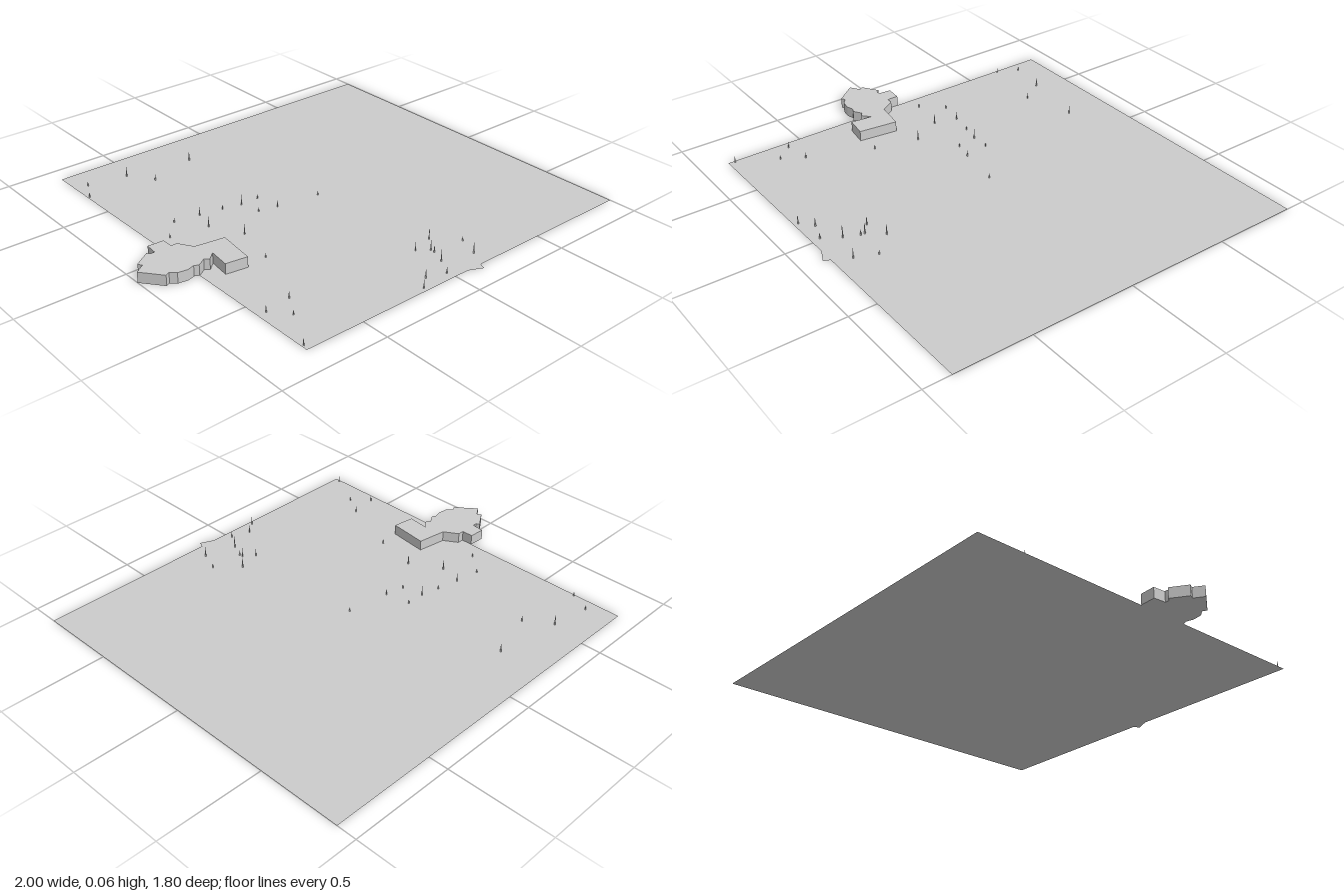
import * as THREE from 'three';

const material = new THREE.MeshStandardMaterial({ color: 0xcccccc, flatShading: true, side: THREE.DoubleSide });

// Outline given as [x, z] pairs, laid flat on the ground
function outline(points) {
  return new THREE.Shape(points.map(([x, z]) => new THREE.Vector2(x, -z)));
}

function addMesh(group, name, geometry) {
  const mesh = new THREE.Mesh(geometry, material);
  mesh.name = name;
  group.add(mesh);
  return mesh;
}

export function createModel() {
  const group = new THREE.Group();
  group.name = 'groundWithPosts';

  // Flat ground sheet
  const ground = new THREE.PlaneGeometry(1.78, 1.775).rotateX(-Math.PI / 2);
  addMesh(group, 'ground', ground).position.set(0.11, 0, -0.0175);

  // Small flat corner of ground past the front edge
  const corner = new THREE.ShapeGeometry(outline([[0.07, 0.87], [0.135, 0.9], [0.147, 0.87]]));
  addMesh(group, 'groundCorner', corner.rotateX(-Math.PI / 2));

  // Raised block with an irregular plan
  const blockPlan = outline([
    [-1, 0.085], [-0.955, 0.055], [-0.965, 0.035], [-0.89, -0.015], [-0.88, 0], [-0.86, 0],
    [-0.855, -0.06], [-0.78, -0.055], [-0.78, 0], [-0.75, 0], [-0.71, 0.067], [-0.57, 0.088],
    [-0.592, 0.275], [-0.695, 0.26], [-0.683, 0.157], [-0.72, 0.19], [-0.74, 0.175], [-0.78, 0.2],
    [-0.8, 0.19], [-0.835, 0.2], [-0.88, 0.193], [-0.905, 0.17], [-0.925, 0.18],
  ]);
  const block = new THREE.ExtrudeGeometry(blockPlan, { depth: 0.05, bevelEnabled: false });
  addMesh(group, 'raisedBlock', block.rotateX(-Math.PI / 2));

  // Thin pointed posts scattered in clusters: [x, z, height]
  const posts = [
    // back
    [-0.72, -0.77, 0.02], [-0.77, -0.67, 0.02], [-0.53, -0.74, 0.05], [-0.45, -0.62, 0.03], [-0.21, -0.69, 0.04],
    // middle
    [-0.49, -0.21, 0.04], [-0.52, -0.1, 0.05], [-0.29, -0.17, 0.05], [-0.38, -0.19, 0.02],
    [-0.18, -0.05, 0.03], [-0.44, 0.05, 0.05], [-0.2, -0.17, 0.02], [0.03, -0.02, 0.02],
    [-0.49, 0.26, 0.02], [-0.7, -0.13, 0.02], [-0.61, -0.23, 0.02], [-0.27, -0.07, 0.02],
    // front right
    [-0.74, 0.58, 0.03], [-0.61, 0.56, 0.03], [-0.67, 0.66, 0.02], [-0.77, 0.84, 0.03],
    // front
    [-0.16, 0.85, 0.04], [-0.01, 0.83, 0.03], [0.04, 0.75, 0.06], [0.07, 0.66, 0.05], [0.07, 0.68, 0.03],
    [0.13, 0.59, 0.05], [0.19, 0.79, 0.05], [-0.1, 0.8, 0.04], [0.02, 0.62, 0.04], [0.23, 0.69, 0.02],
  ];
  const postGroup = new THREE.Group();
  postGroup.name = 'posts';
  for (const [x, z, height] of posts) {
    const post = new THREE.CylinderGeometry(0.001, 0.004, height, 4);
    addMesh(postGroup, 'post', post).position.set(x, height / 2, z);
  }
  group.add(postGroup);

  return group;
}
